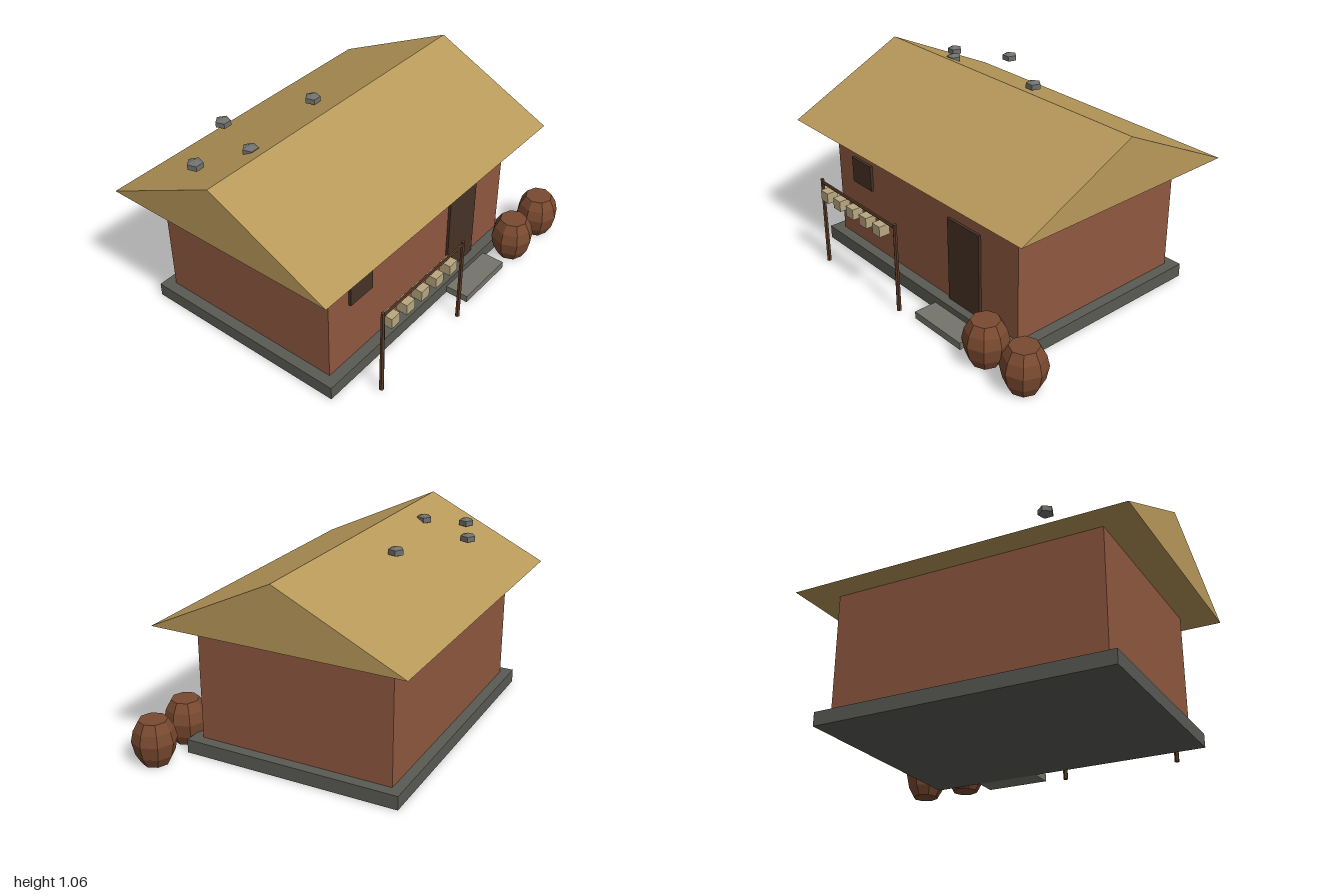
import * as THREE from 'three';

const mat = (color) => new THREE.MeshStandardMaterial({ color, flatShading: true });
const thatch = mat(0xb8995a), clay = mat(0x8f5840), slab = mat(0x5a5a54), stepStone = mat(0x74746c);
const darkWood = mat(0x463226), poleWood = mat(0x5a3a26), barrelWood = mat(0x7a4a30);
const cloth = mat(0xb8a880), rock = mat(0x70706c);

export function createModel() {
  const model = new THREE.Group();
  const add = (name, geometry, material, x, y, z) => {
    const mesh = new THREE.Mesh(geometry, material);
    mesh.name = name;
    mesh.position.set(x, y, z);
    model.add(mesh);
    return mesh;
  };
  // Box given by its minimum and maximum on each axis
  const box = (name, material, x0, x1, y0, y1, z0, z1) =>
    add(name, new THREE.BoxGeometry(x1 - x0, y1 - y0, z1 - z0), material,
      (x0 + x1) / 2, (y0 + y1) / 2, (z0 + z1) / 2);

  // House body
  box('foundation', slab, -0.88, 0.73, 0, 0.075, -0.66, 0.537);
  box('walls', clay, -0.82, 0.67, 0.075, 0.735, -0.602, 0.477);
  box('door', darkWood, 0.16, 0.4, 0.075, 0.55, 0.46, 0.492);
  box('window', darkWood, -0.67, -0.5, 0.435, 0.582, 0.46, 0.492);
  box('doorStep', stepStone, 0.1, 0.46, 0, 0.04, 0.49, 0.668);

  // Gable roof: triangular prism along x
  const gable = new THREE.Shape([
    new THREE.Vector2(-0.684, 0), new THREE.Vector2(0.684, 0), new THREE.Vector2(0, 0.328)]);
  const roofGeometry = new THREE.ExtrudeGeometry(gable, { depth: 1.846, bevelEnabled: false });
  roofGeometry.rotateY(Math.PI / 2);
  add('roof', roofGeometry, thatch, -1, 0.732, -0.063);

  // Stones weighing down the rear roof slope
  for (const [x, y, z] of [
    [-0.6, 1.01, -0.18], [-0.04, 0.992, -0.27], [-0.805, 0.961, -0.352], [-0.475, 0.977, -0.49]]) {
    const stone = add('roofStone', new THREE.SphereGeometry(0.048, 5, 3), rock, x, y, z);
    stone.scale.y = 0.6;
    stone.rotation.y = -Math.PI / 2;
  }

  // Drying rack with hanging blocks
  const rackZ = 0.686;
  for (const x of [-0.675, -0.015])
    add('rackPost', new THREE.CylinderGeometry(0.011, 0.013, 0.51, 6), poleWood, x, 0.255, rackZ);
  const bar = add('rackBar', new THREE.CylinderGeometry(0.009, 0.009, 0.66, 6), poleWood, -0.345, 0.492, rackZ);
  bar.rotation.z = Math.PI / 2;
  for (let i = 0; i < 5; i++)
    add('hangingBlock', new THREE.BoxGeometry(0.063, 0.06, 0.063), cloth, -0.615 + i * 0.119, 0.435, rackZ);

  // Barrels with a closed faceted profile
  const profile = [[0, 0], [0.072, 0], [0.102, 0.055], [0.118, 0.13], [0.104, 0.19], [0.075, 0.24], [0, 0.24]]
    .map(([r, y]) => new THREE.Vector2(r, y));
  for (const x of [0.608, 0.88])
    add('barrel', new THREE.LatheGeometry(profile, 8), barrelWood, x, 0, 0.627);

  return model;
}
